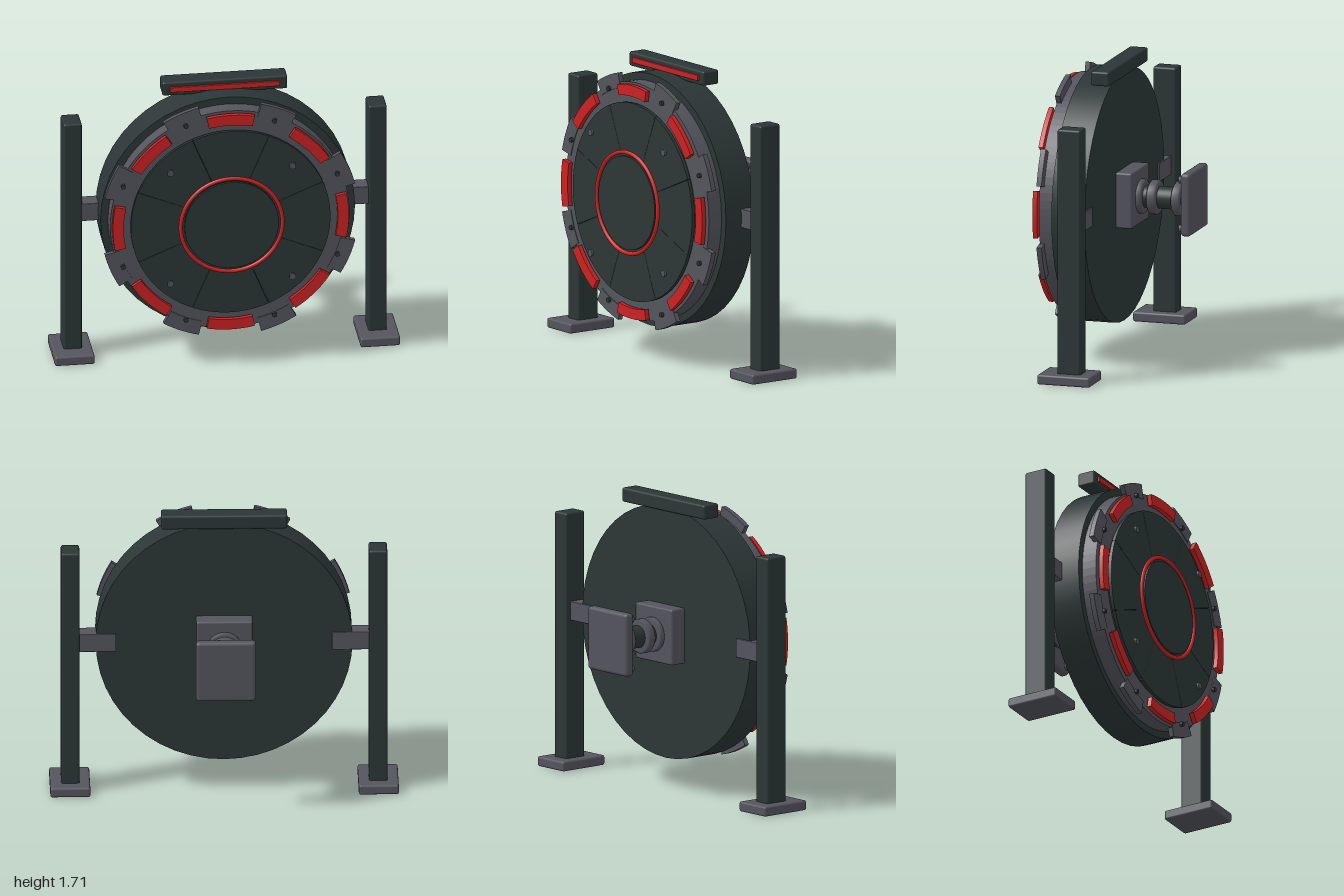
import * as THREE from 'three';
import { RoundedBoxGeometry } from 'three/addons/geometries/RoundedBoxGeometry.js';

const mat = (name, color, extra = {}) => {
  const m = new THREE.MeshStandardMaterial({ color, ...extra });
  m.name = name;
  return m;
};

export function createModel() {
  const dark = mat('charcoal', 0x2c3636);
  const grey = mat('steel grey', 0x54555d);
  const red = mat('signal red', 0xcc2222);
  const root = new THREE.Group();
  root.name = 'wheelOnStand';
  const CY = 0.92; // height of the wheel axis

  const add = (parent, name, geo, material, x = 0, y = 0, z = 0) => {
    const mesh = new THREE.Mesh(geo, material);
    mesh.name = name;
    mesh.position.set(x, y, z);
    parent.add(mesh);
    return mesh;
  };
  // rounded box given by its min and max corners
  const box = (parent, name, material, x0, x1, y0, y1, z0, z1, r = 0.012) =>
    add(parent, name, new RoundedBoxGeometry(x1 - x0, y1 - y0, z1 - z0, 2, r), material,
      (x0 + x1) / 2, (y0 + y1) / 2, (z0 + z1) / 2);
  // cylinder along z
  const disc = (parent, name, material, r, z0, z1, x = 0, y = 0, seg = 48) =>
    add(parent, name, new THREE.CylinderGeometry(r, r, z1 - z0, seg).rotateX(Math.PI / 2), material,
      x, y, (z0 + z1) / 2);
  // curved block: part of a ring, centred on an angle
  const arcBlock = (parent, name, material, rIn, rOut, angle, half, z0, z1) => {
    const s = new THREE.Shape();
    s.absarc(0, 0, rOut, angle - half, angle + half, false);
    s.absarc(0, 0, rIn, angle + half, angle - half, true);
    const geo = new THREE.ExtrudeGeometry(s, { depth: z1 - z0, bevelEnabled: false, curveSegments: 8 });
    return add(parent, name, geo, material, 0, 0, z0);
  };
  // collar along z with chamfered rims
  const collar = (parent, name, r, z0, z1) => {
    const c = 0.01, h = z1 - z0;
    const pts = [[0, 0], [r - c, 0], [r, c], [r, h - c], [r - c, h], [0, h]]
      .map(([a, b]) => new THREE.Vector2(a, b));
    const geo = new THREE.LatheGeometry(pts, 32).rotateX(Math.PI / 2);
    add(parent, name, geo, grey, 0, 0, z0);
  };

  // wheel body
  const wheel = new THREE.Group();
  wheel.name = 'wheel';
  wheel.position.y = CY;
  root.add(wheel);
  disc(wheel, 'drum', dark, 0.737, 0.04, 0.24);
  const ring = new THREE.Shape().absarc(0, 0, 0.693, 0, Math.PI * 2, false);
  ring.holes.push(new THREE.Path().absarc(0, 0, 0.56, 0, Math.PI * 2, true));
  add(wheel, 'frontRing',
    new THREE.ExtrudeGeometry(ring, { depth: 0.09, bevelEnabled: false, curveSegments: 48 }),
    grey, 0, 0, 0.24);

  // parts repeated around the wheel
  for (let i = 0; i < 8; i++) {
    const a = i * Math.PI / 4, b = a + Math.PI / 8;
    arcBlock(wheel, 'facePanel', dark, 0.2, 0.578, a, Math.PI / 8 - 0.002, 0.345, 0.365);
    arcBlock(wheel, 'redLight', red, 0.62, 0.684, a, 0.205, 0.345, 0.372);
    arcBlock(wheel, 'rimClamp', grey, 0.66, 0.747, b, 0.148, 0.304, 0.334);
    disc(wheel, 'ringBolt', dark, 0.014, 0.338, 0.354, 0.671 * Math.cos(b), 0.671 * Math.sin(b), 12);
    if (i % 2) {
      disc(wheel, 'panelBolt', grey, 0.02, 0.395, 0.409, 0.5 * Math.cos(a), 0.5 * Math.sin(a), 16);
    }
  }

  // hub
  disc(wheel, 'hubPlate', dark, 0.273, 0.392, 0.408);
  add(wheel, 'hubRing', new THREE.TorusGeometry(0.295, 0.012, 10, 64), red, 0, 0, 0.402);

  // light bar on top
  box(root, 'topBar', dark, -0.362, 0.362, 1.63, 1.714, 0.015, 0.125);
  box(root, 'topBarLight', red, -0.318, 0.318, 1.655, 1.687, 0.115, 0.136, 0.003);

  // side stands
  for (const s of [-1, 1]) {
    const stand = new THREE.Group();
    stand.name = s > 0 ? 'leftStand' : 'rightStand';
    root.add(stand);
    const side = (name, m, x0, x1, ...rest) =>
      box(stand, name, m, Math.min(s * x0, s * x1), Math.max(s * x0, s * x1), ...rest);
    side('post', dark, 0.83, 0.936, 0.04, 1.492, 0, 0.14);
    side('foot', grey, 0.77, 1, 0, 0.058, -0.075, 0.242);
    side('arm', grey, 0.62, 0.84, 0.865, 0.975, 0.03, 0.13, 0.004);
  }

  // rear mount
  const mount = new THREE.Group();
  mount.name = 'rearMount';
  mount.position.y = CY;
  root.add(mount);
  box(mount, 'mountPlate', grey, -0.162, 0.162, -0.163, 0.163, -0.058, 0.045);
  disc(mount, 'shaft', dark, 0.065, -0.36, -0.05, 0, 0, 32);
  collar(mount, 'baseCollar', 0.1, -0.09, -0.05);
  collar(mount, 'innerCollar', 0.1, -0.175, -0.12);
  collar(mount, 'outerCollar', 0.1, -0.32, -0.268);
  box(mount, 'endPlate', grey, -0.172, 0.172, -0.184, 0.184, -0.412, -0.352, 0.02);
  for (const x of [-0.135, 0.135]) {
    for (const y of [-0.143, 0.143]) disc(mount, 'endPlateBolt', grey, 0.022, -0.353, -0.337, x, y, 16);
  }
  return root;
}
